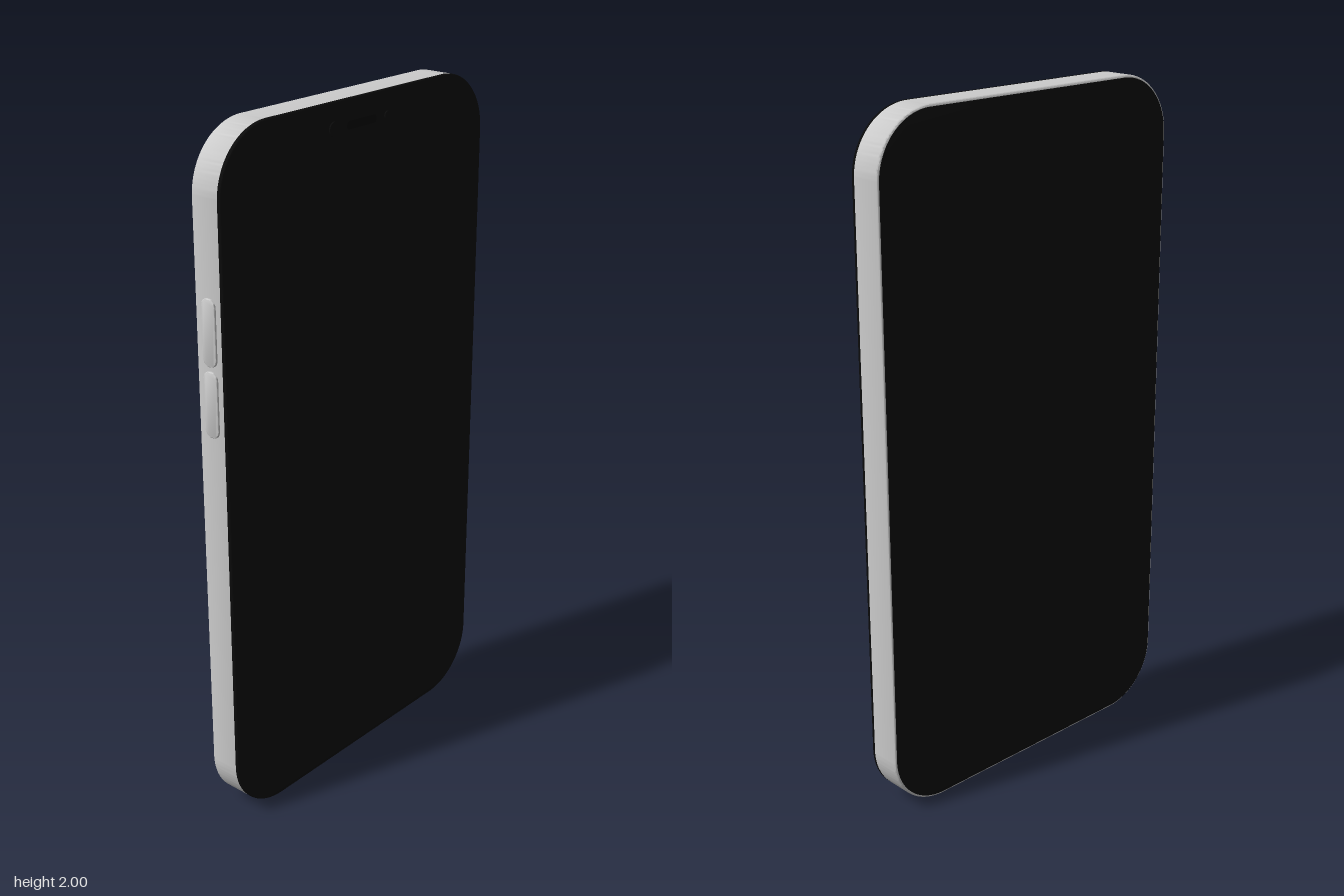
import * as THREE from 'three';
import { toCreasedNormals } from 'three/addons/utils/BufferGeometryUtils.js';

const grey = new THREE.MeshStandardMaterial({ color: 0xcccccc });
const black = new THREE.MeshStandardMaterial({ color: 0x0a0a0a });
const darkest = new THREE.MeshStandardMaterial({ color: 0x030303 });

// Rounded rectangle centred on the origin
function roundedRect(w, h, r) {
  const s = new THREE.Shape(), x = w / 2, y = h / 2, q = Math.PI / 2;
  s.absarc(x - r, y - r, r, 0, q);
  s.absarc(r - x, y - r, r, q, 2 * q);
  s.absarc(r - x, r - y, r, 2 * q, 3 * q);
  s.absarc(x - r, r - y, r, 3 * q, 4 * q);
  s.closePath();
  return s;
}

// Rounded slab of full size w x h x d, centred, with softened edges
function slab(name, material, w, h, r, d, bevel, x, y, z) {
  const g = new THREE.ExtrudeGeometry(roundedRect(w, h, r), {
    depth: d - 2 * bevel, curveSegments: 24, bevelEnabled: bevel > 0,
    bevelSize: bevel, bevelThickness: bevel, bevelOffset: -bevel, bevelSegments: 4,
  });
  g.translate(0, 0, bevel - d / 2);
  const mesh = new THREE.Mesh(toCreasedNormals(g, 0.6), material);
  mesh.name = name;
  mesh.position.set(x, y, z);
  return mesh;
}

export function createModel() {
  const phone = new THREE.Group();
  phone.name = 'smartphone';
  const W = 1.068, CX = 0.003, R = 0.178, CZ = -0.004;

  // Metal frame with glass on both faces
  phone.add(slab('frame', grey, W, 2, R, 0.097, 0.008, CX, 1, -0.0055));
  phone.add(slab('frontGlass', black, W, 2, R, 0.013, 0.004, CX, 1, 0.0405));
  phone.add(slab('backGlass', black, W - 0.014, 1.986, R - 0.007, 0.004, 0.001, CX, 1, -0.053));

  // Earpiece slot, sensor and front camera near the top
  phone.add(slab('earpiece', darkest, 0.12, 0.022, 0.01, 0.004, 0, CX, 1.93, 0.0458));
  for (const [name, x, r] of [['sensor', -0.108, 0.02], ['frontCamera', 0.108, 0.012]]) {
    const disc = new THREE.Mesh(new THREE.CylinderGeometry(r, r, 0.008, 32), black);
    disc.name = name;
    disc.rotation.x = Math.PI / 2;
    disc.position.set(x, 1.93, 0.047);
    phone.add(disc);
  }

  // Volume buttons on the right side
  for (const [name, y] of [['volumeUpButton', 1.478], ['volumeDownButton', 1.281]]) {
    const button = slab(name, grey, 0.048, 0.184, 0.022, 0.016, 0.003, -0.529, y, CZ);
    button.rotation.y = -Math.PI / 2;
    phone.add(button);
  }

  // Charging port in the bottom edge
  const port = slab('chargingPort', darkest, 0.22, 0.05, 0.022, 0.004, 0, CX, 0.0015, CZ);
  port.rotation.x = Math.PI / 2;
  phone.add(port);

  return phone;
}
